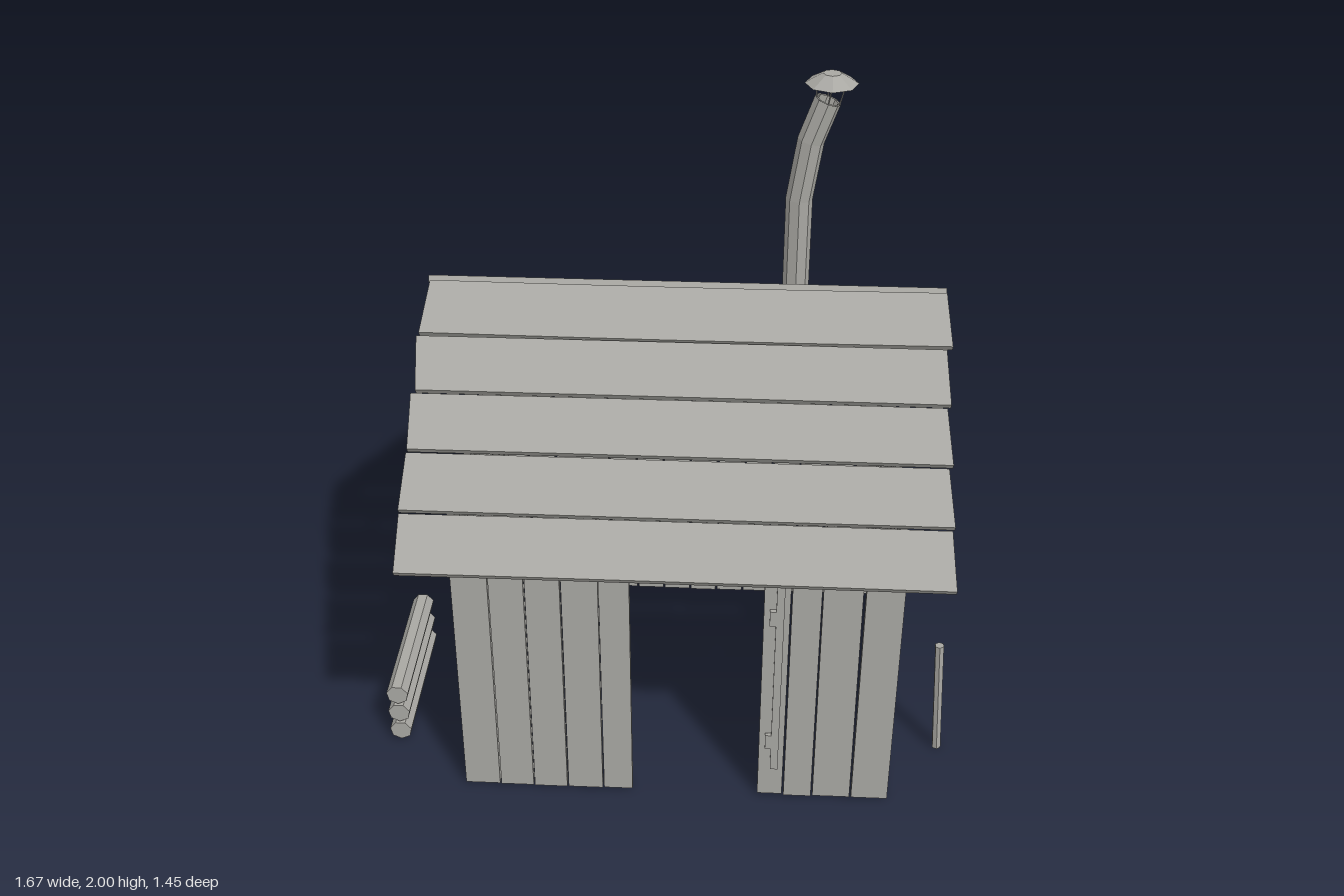
import * as THREE from 'three';

export function createModel() {
  const model = new THREE.Group();
  model.name = 'smokehouse';
  const wood = new THREE.MeshStandardMaterial({ color: 0xa8a7a2, flatShading: true, side: THREE.DoubleSide });
  wood.name = 'weathered grey';

  // Small seeded generator for hand-cut unevenness, -1..1
  let seed = 7;
  const rand = () => {
    seed = (seed * 16807) % 2147483647;
    return (seed / 2147483647) * 2 - 1;
  };

  const add = (parent, name, geometry, x = 0, y = 0, z = 0) => {
    const mesh = new THREE.Mesh(geometry, wood);
    mesh.name = name;
    mesh.position.set(x, y, z);
    parent.add(mesh);
    return mesh;
  };
  const group = (name, parent = model) => {
    const g = new THREE.Group();
    g.name = name;
    parent.add(g);
    return g;
  };

  // Upright board standing on its base, top corners cut a little crooked
  const board = (w, h, t) => {
    const g = new THREE.BoxGeometry(w, h, t).translate(0, h / 2, 0);
    const p = g.attributes.position;
    const cut = rand() * 0.005, lean = rand() * 0.003;
    for (let i = 0; i < p.count; i++) {
      if (p.getY(i) > h / 2) {
        p.setY(i, p.getY(i) + Math.sign(p.getX(i)) * cut);
        p.setX(i, p.getX(i) + lean);
      }
    }
    g.computeVertexNormals();
    return g;
  };

  // Wall from a list of board edges and heights, laid along its local x
  const wall = (name, edges, heights, gap) => {
    const g = group(name);
    heights.forEach((h, i) => {
      const a = edges[i], b = edges[i + 1];
      add(g, 'wallBoard', board(b - a - gap, h - 0.01, 0.02), (a + b) / 2, 0.01, rand() * 0.003);
    });
    return g;
  };

  // Front wall on both sides of the doorway
  wall('frontWallRight', [-0.585, -0.48, -0.38, -0.28, -0.175, -0.087],
    [0.94, 0.975, 0.95, 0.98, 0.955], 0.004).position.z = 0.482;
  wall('frontWallLeft', [0.275, 0.352, 0.437, 0.55, 0.66],
    [0.925, 0.965, 0.985, 0.917], 0.005).position.z = 0.482;

  // Back wall
  const backEdges = [], backTops = [];
  for (let i = 0; i <= 14; i++) {
    backEdges.push(-0.585 + i * 1.245 / 14);
    if (i < 14) backTops.push(0.957 + rand() * 0.025);
  }
  wall('backWall', backEdges, backTops, 0.006).position.z = -0.482;

  // Side walls
  const sideEdges = [-0.47, -0.372, -0.278, -0.175, -0.08, -0.006, 0.109, 0.199, 0.305, 0.397, 0.488];
  const right = wall('leftSideWall', sideEdges.map((e) => e),
    [0.92, 0.96, 0.955, 0.955, 0.95, 0.97, 0.96, 0.985, 0.94, 0.96], 0.012);
  right.position.x = 0.648;
  right.rotation.y = Math.PI / 2;
  const left = wall('rightSideWall', sideEdges,
    [0.95, 0.93, 0.96, 0.94, 0.965, 0.95, 0.975, 0.95, 0.96, 0.95], 0.009);
  left.position.x = -0.575;
  left.rotation.y = Math.PI / 2;

  // Roof: five long boards per slope with uneven ends
  const slope = Math.atan2(0.475, 0.715);
  for (const side of [1, -1]) {
    const roof = group(side > 0 ? 'frontRoof' : 'backRoof');
    for (let i = 0; i < 5; i++) {
      const g = new THREE.BoxGeometry(1.435, 0.02, 0.163, 6, 1, 1);
      const p = g.attributes.position;
      const ends = [rand() * 0.008, rand() * 0.008];
      const bow = rand() * 0.004;
      for (let k = 0; k < p.count; k++) {
        const x = p.getX(k), z = p.getZ(k);
        if (Math.abs(x) > 0.7) p.setX(k, x + Math.sign(z) * ends[x > 0 ? 1 : 0]);
        p.setZ(k, z + bow * Math.cos(x * 2.2));
      }
      g.computeVertexNormals();
      const d = 0.085 + i * 0.1727;
      const m = add(roof, 'roofBoard', g, 0.037 + rand() * 0.004,
        1.424 - d * Math.sin(slope), side * d * Math.cos(slope) + (side > 0 ? 0.001 : -0.012));
      m.rotation.x = side * slope;
    }
  }

  // Chimney: octagonal pipe bent towards the top
  const chimney = group('chimney');
  const path = [[0.342, 1.23, 0], [0.342, 1.64, 0.06], [0.367, 1.81, 0.24], [0.407, 1.925, 0.34]];
  const bentPipe = (radius) => {
    const g = new THREE.CylinderGeometry(radius, radius, 3, 8, 3, true);
    const p = g.attributes.position;
    for (let i = 0; i < p.count; i++) {
      const [cx, cy, tilt] = path[Math.round(p.getY(i) + 1.5)];
      const x = p.getX(i);
      p.setXYZ(i, cx + x * Math.cos(tilt), cy - x * Math.sin(tilt), p.getZ(i) - 0.13);
    }
    g.computeVertexNormals();
    return g;
  };
  add(chimney, 'pipeOuter', bentPipe(0.037));
  add(chimney, 'pipeInner', bentPipe(0.03));

  // Rain cap on thin struts
  add(chimney, 'rainCap', new THREE.CylinderGeometry(0.025, 0.072, 0.028, 8), 0.415, 1.986, -0.13);
  const rod = (parent, name, a, b, r, sides = 6) => {
    const from = new THREE.Vector3(...a), to = new THREE.Vector3(...b);
    const dir = to.clone().sub(from);
    const mesh = add(parent, name, new THREE.CylinderGeometry(r, r, dir.length(), sides));
    mesh.position.copy(from).add(to).multiplyScalar(0.5);
    mesh.quaternion.setFromUnitVectors(new THREE.Vector3(0, 1, 0), dir.normalize());
    return mesh;
  };
  for (const [dx, dz] of [[1, 0], [-1, 0], [0, 1], [0, -1]]) {
    rod(chimney, 'capStrut', [0.407 + dx * 0.031, 1.922 - dx * 0.011, -0.13 + dz * 0.031],
      [0.415 + dx * 0.04, 1.975, -0.13 + dz * 0.04], 0.002, 4);
  }

  // Drying racks: three staggered rods with fish hanging underneath
  for (let row = 0; row < 3; row++) {
    const rack = group('dryingRack');
    const y = 0.835 - row * 0.175, z = 0.035 - row * 0.095;
    rod(rack, 'rackRod', [-0.57, y, z], [0.645, y, z], 0.004);
    for (let i = 0; i < 8; i++) {
      const x = -0.47 + i * 0.145;
      const fish = group('fish', rack);
      fish.position.set(x, y - 0.085, z);
      const body = add(fish, 'fishBody', new THREE.SphereGeometry(1, 6, 5));
      body.scale.set(0.009, 0.018, 0.04);
      const tail = add(fish, 'fishTail', new THREE.ConeGeometry(0.016, 0.025, 4), 0, 0, -0.043);
      tail.rotation.x = Math.PI / 2;
      tail.scale.x = 0.25;
      rod(rack, 'fishString', [x, y, z], [x, y - 0.075, z], 0.0012, 3);
    }
  }

  // Door post with two hinge brackets beside the doorway
  const post = group('doorPost');
  add(post, 'post', board(0.022, 0.69, 0.012), 0.323, 0.12, 0.498);
  for (const y of [0.675, 0.225]) {
    add(post, 'hinge', new THREE.BoxGeometry(0.018, 0.05, 0.012), 0.304, y, 0.499);
  }

  // Log stack
  const logs = group('logStack');
  for (const y of [0.045, 0.115, 0.185]) {
    rod(logs, 'log', [-0.808, y, -0.13], [-0.808, y, 0.32], 0.033, 7);
  }

  // Leaning stick
  rod(model, 'stick', [0.82, 0.004, 0.255], [0.798, 0.398, 0.255], 0.014, 6);

  return model;
}
